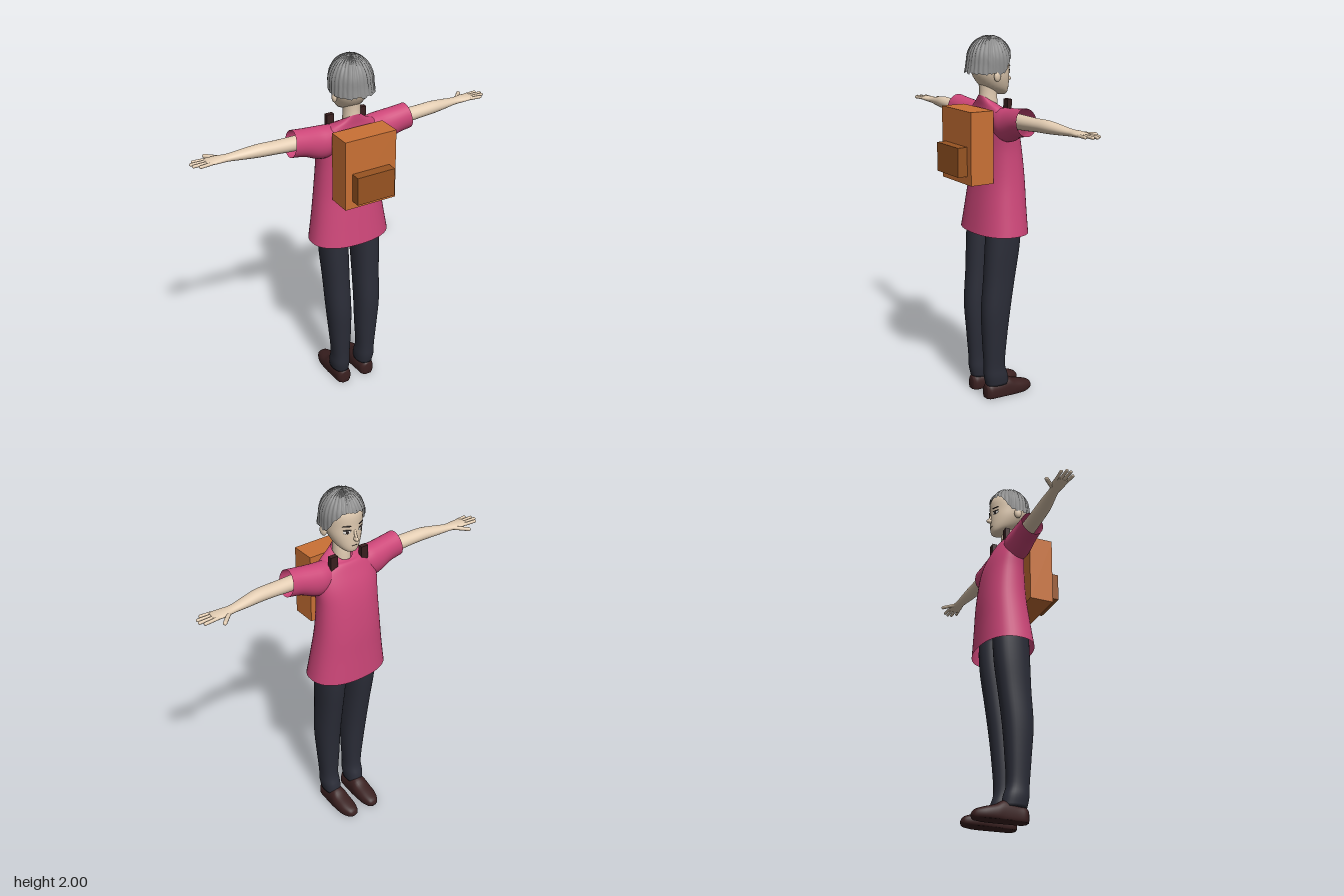
import * as THREE from 'three';

const mat = (name, color) => {
  const m = new THREE.MeshStandardMaterial({ color });
  m.name = name;
  return m;
};

// Smooth tube through elliptical sections [t, cu, cv, ru, rv, tilt] running along an axis.
// Axis y: u = x, v = z.  Axis x: u = z, v = y.  Axis z: u = y, v = x.
function loft(axis, sections, { caps = true, power = 1, sides = 32, steps = 4 } = {}) {
  const centres = new THREE.CatmullRomCurve3(sections.map(s => new THREE.Vector3(s[0], s[1], s[2])), false, 'catmullrom', 0.5);
  const radii = new THREE.CatmullRomCurve3(sections.map(s => new THREE.Vector3(s[3], s[4], s[5] || 0)), false, 'catmullrom', 0.5);
  const rows = (sections.length - 1) * steps;
  const place = { x: (t, u, v) => [t, v, u], y: (t, u, v) => [u, t, v], z: (t, u, v) => [v, u, t] }[axis];
  const soft = c => Math.sign(c) * Math.abs(c) ** power;
  const pos = [], index = [];
  for (let i = 0; i <= rows; i++) {
    const c = centres.getPoint(i / rows), r = radii.getPoint(i / rows);
    for (let j = 0; j < sides; j++) {
      const a = j / sides * Math.PI * 2, s = Math.sin(a);
      pos.push(...place(c.x + r.z * s, c.y + r.x * soft(Math.cos(a)), c.z + r.y * soft(s)));
      const p = i * sides + j, q = i * sides + (j + 1) % sides;
      if (i < rows) index.push(p, p + sides, q, q, p + sides, q + sides);
    }
  }
  if (caps) {
    for (const [i, first] of [[0, true], [rows, false]]) {
      const c = centres.getPoint(i / rows), k = pos.length / 3;
      pos.push(...place(c.x, c.y, c.z));
      for (let j = 0; j < sides; j++) {
        const p = i * sides + j, q = i * sides + (j + 1) % sides;
        index.push(...(first ? [k, p, q] : [k, q, p]));
      }
    }
  }
  const g = new THREE.BufferGeometry();
  g.setAttribute('position', new THREE.Float32BufferAttribute(pos, 3));
  g.setIndex(index);
  g.computeVertexNormals();
  return g;
}

// Copy across x = 0, with the winding turned round
function mirrored(geo) {
  const g = geo.clone().scale(-1, 1, 1), ix = g.index.array;
  for (let i = 0; i < ix.length; i += 3) [ix[i], ix[i + 1]] = [ix[i + 1], ix[i]];
  return g;
}

const ball = (x, y, z, rx, ry, rz, turn = 0) =>
  new THREE.SphereGeometry(1, 20, 14).scale(rx, ry, rz).rotateY(turn).translate(x, y, z);

const box = (w, h, d, x, y, z) => new THREE.BoxGeometry(w, h, d).translate(x, y, z);

// Rounded rod between two points
function rod(a, b, r) {
  const p = new THREE.Vector3(...a), q = new THREE.Vector3(...b), d = q.clone().sub(p);
  const turn = new THREE.Quaternion().setFromUnitVectors(new THREE.Vector3(0, 1, 0), d.clone().normalize());
  const mid = p.add(q).multiplyScalar(0.5);
  return new THREE.CapsuleGeometry(r, d.length(), 5, 10).applyQuaternion(turn).translate(mid.x, mid.y, mid.z);
}

// Cap of ridged strands: high over the forehead, low and flicked out at the nape
function hairCap() {
  let seed = 7;
  const rand = () => (seed = (seed * 16807) % 2147483647) / 2147483647;
  const sides = 120, rows = 14, cy = 1.86, h = 0.137, pos = [], index = [];
  const strand = Array.from({ length: sides / 4 }, () => [rand(), rand()]);
  for (let j = 0; j < sides; j++) {
    const a = j / sides * Math.PI * 2, front = -Math.sin(a);
    const [lift, drop] = strand[Math.floor(j / 4)];
    const edge = 1.815 + 0.1 * THREE.MathUtils.smoothstep(front, 0.15, 0.85) - 0.014 * drop;
    const end = Math.acos((edge - cy) / h);
    for (let k = 0; k <= rows; k++) {
      const th = end * k / rows, low = Math.max(0, th - Math.PI / 2);
      const ridge = [0, 0.035, 0.045, 0.025][j % 4] * (0.6 + 0.6 * lift) + 0.012 * rand();
      const r = (th < Math.PI / 2 ? Math.sin(th) : 1) * (0.96 + ridge) + low * 0.22 * Math.max(0, -front);
      pos.push(0.117 * r * Math.cos(a), cy + h * Math.cos(th) + (k ? 0.12 * ridge : 0), -0.012 + 0.123 * r * Math.sin(a));
      const p = j * (rows + 1) + k, q = ((j + 1) % sides) * (rows + 1) + k;
      if (k < rows) index.push(p, q, p + 1, q, q + 1, p + 1);
    }
  }
  const g = new THREE.BufferGeometry();
  g.setAttribute('position', new THREE.Float32BufferAttribute(pos, 3));
  g.setIndex(index);
  g.computeVertexNormals();
  return g;
}

export function createModel() {
  const model = new THREE.Group();
  model.name = 'backpacker';
  const skin = mat('skin', 0xe3cdb3), shirt = mat('pink shirt', 0xcc4678), trousers = mat('dark trousers', 0x2b2d38);
  const leather = mat('dark brown leather', 0x3a2020), hair = mat('grey hair', 0x8c8c8c);
  const canvas = mat('orange canvas', 0xca7135), flap = mat('brown canvas', 0x985422);
  const white = mat('eye white', 0xf0ece6), dark = mat('eye dark', 0x2a2222);
  shirt.side = hair.side = THREE.DoubleSide;

  const add = (name, geo, material) => {
    const m = new THREE.Mesh(geo, material);
    m.name = name;
    model.add(m);
  };
  const pair = (name, geo, material) => {
    add(name + 'Right', geo, material);
    add(name + 'Left', mirrored(geo), material);
  };

  // Shirt, open at hem, cuffs and collar
  add('shirtBody', loft('y', [
    [0.955, 0, -0.045, 0.228, 0.15], [1.1, 0, -0.052, 0.205, 0.137], [1.25, 0, -0.059, 0.186, 0.124],
    [1.4, 0, -0.055, 0.177, 0.11], [1.5, 0, -0.045, 0.182, 0.095], [1.58, 0, -0.028, 0.175, 0.077],
    [1.625, 0, -0.02, 0.135, 0.065, 0.008], [1.645, 0, -0.012, 0.085, 0.058, 0.022], [1.66, 0, -0.008, 0.05, 0.054, 0.034],
  ], { caps: false, power: 0.87, sides: 48 }), shirt);
  pair('sleeve', loft('x', [
    [0.06, -0.02, 1.565, 0.055, 0.065], [0.14, -0.025, 1.552, 0.072, 0.086], [0.2, -0.025, 1.555, 0.07, 0.088],
    [0.28, -0.02, 1.576, 0.064, 0.075], [0.347, -0.018, 1.587, 0.062, 0.071, -0.012],
  ], { caps: false }), shirt);

  // Arms and hands
  pair('arm', loft('x', [
    [0.2, -0.02, 1.58, 0.045, 0.043], [0.36, -0.024, 1.583, 0.041, 0.037], [0.44, -0.026, 1.586, 0.04, 0.034],
    [0.52, -0.03, 1.588, 0.038, 0.033], [0.6, -0.04, 1.585, 0.033, 0.026], [0.68, -0.05, 1.582, 0.027, 0.018],
    [0.735, -0.054, 1.583, 0.036, 0.016], [0.785, -0.053, 1.584, 0.037, 0.011], [0.797, -0.053, 1.584, 0.03, 0.006],
  ]), skin);
  [0.835, 0.862, 0.866, 0.848].forEach((tip, i) => {
    const z = -0.024 - i * 0.0195;
    pair('finger', rod([0.775, 1.584, z], [tip, 1.584, z + (1.5 - i) * 0.004], 0.0085), skin);
  });
  pair('thumb', rod([0.705, 1.581, -0.068], [0.768, 1.579, -0.131], 0.0105), skin);

  // Legs and shoes
  pair('trouserLeg', loft('y', [
    [0.075, 0.08, -0.015, 0.047, 0.068], [0.13, 0.082, -0.005, 0.052, 0.069], [0.2, 0.083, 0.005, 0.05, 0.061],
    [0.35, 0.086, 0.006, 0.06, 0.07], [0.52, 0.092, 0.002, 0.067, 0.083], [0.7, 0.095, -0.017, 0.069, 0.09],
    [0.85, 0.098, -0.032, 0.073, 0.098], [0.97, 0.1, -0.04, 0.074, 0.1], [1.05, 0.1, -0.04, 0.074, 0.098],
  ], { power: 0.88 }), trousers);
  const shoe = loft('z', [
    [-0.24, 0.02, 0.072, 0.006, 0.012], [-0.225, 0.022, 0.073, 0.026, 0.032], [-0.18, 0.025, 0.076, 0.04, 0.049],
    [-0.12, 0.03, 0.077, 0.053, 0.053], [-0.07, 0.035, 0.077, 0.073, 0.05], [0, 0.03, 0.077, 0.06, 0.045],
    [0.04, 0.03, 0.077, 0.055, 0.042], [0.06, 0.03, 0.077, 0.042, 0.024],
  ], { power: 0.85 });
  const sp = shoe.attributes.position;
  for (let i = 0; i < sp.count; i++) sp.setY(i, Math.max(0, sp.getY(i))); // flat sole
  shoe.computeVertexNormals();
  pair('shoe', shoe, leather);

  // Head, neck and face, looking towards -z
  add('neck', loft('y', [[1.57, 0, -0.006, 0.05, 0.05], [1.66, 0, -0.006, 0.046, 0.05], [1.72, 0, -0.004, 0.045, 0.047], [1.8, 0, 0, 0.05, 0.052]]), skin);
  add('head', loft('y', [
    [1.69, 0, -0.088, 0.015, 0.015], [1.7, 0, -0.079, 0.038, 0.036], [1.73, 0, -0.048, 0.066, 0.073],
    [1.78, 0, -0.026, 0.088, 0.096], [1.83, 0, -0.016, 0.097, 0.105], [1.9, 0, -0.013, 0.101, 0.108],
    [1.95, 0, -0.01, 0.078, 0.086], [1.98, 0, -0.01, 0.03, 0.03],
  ]), skin);
  add('nose', ball(0, 1.772, -0.124, 0.011, 0.013, 0.026), skin);
  add('noseBridge', rod([0, 1.778, -0.133], [0, 1.815, -0.116], 0.007), skin);
  add('mouth', ball(0, 1.734, -0.1195, 0.018, 0.002, 0.003), dark);
  pair('ear', ball(0.104, 1.798, 0.002, 0.014, 0.03, 0.021, 0.3), skin);
  pair('eye', ball(0.042, 1.813, -0.1095, 0.02, 0.0105, 0.004, -0.5), white);
  pair('iris', ball(0.041, 1.813, -0.1125, 0.0085, 0.0095, 0.003, -0.5), dark);
  pair('upperLid', ball(0.042, 1.8235, -0.111, 0.022, 0.0025, 0.004, -0.5), dark);
  pair('eyebrow', ball(0.043, 1.845, -0.1115, 0.024, 0.003, 0.004, -0.5), dark);
  add('hair', hairCap(), hair);

  // Backpack
  add('backpack', box(0.3, 0.385, 0.135, 0, 1.4375, 0.1225), canvas);
  add('backpackPocket', box(0.22, 0.155, 0.055, 0, 1.3675, 0.2175), flap);
  pair('shoulderStrap', box(0.042, 0.1, 0.026, 0.096, 1.627, -0.066), leather);
  return model;
}
